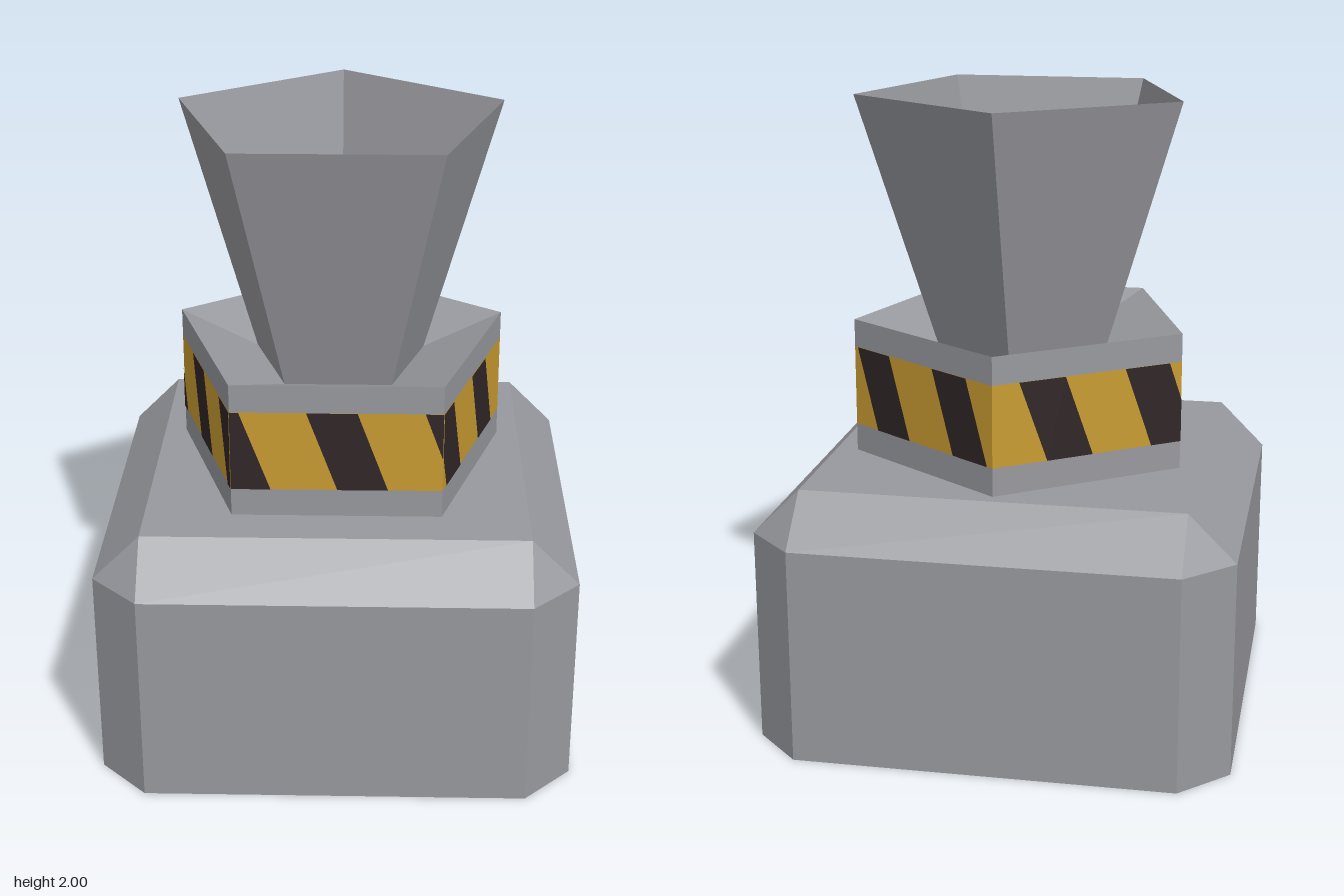
import * as THREE from 'three';

const grey = new THREE.MeshStandardMaterial({ name: 'grey metal', color: 0x98999e, flatShading: true, side: THREE.DoubleSide });
const yellow = new THREE.MeshStandardMaterial({ name: 'warning yellow', color: 0xc99c31, flatShading: true });
const dark = new THREE.MeshStandardMaterial({ name: 'warning dark', color: 0x302627, flatShading: true });

const SIDES = 5;
const COLLAR_R = 0.557;
const FACE_W = 2 * COLLAR_R * Math.sin(Math.PI / SIDES);
const APOTHEM = COLLAR_R * Math.cos(Math.PI / SIDES);
const BAND_Y0 = 0.93, BAND_Y1 = 1.19;

function add(parent, name, geometry, material) {
  const mesh = new THREE.Mesh(geometry, material);
  mesh.name = name;
  parent.add(mesh);
  return mesh;
}

// Open five-sided tube with a flat side towards the front
function pentagonTube(rBottom, yBottom, rTop, yTop) {
  const g = new THREE.CylinderGeometry(rTop, rBottom, yTop - yBottom, SIDES, 1, true, Math.PI);
  return g.translate(0, (yTop + yBottom) / 2, 0);
}

// Horizontal pentagon with a corner towards the back
function pentagonPlate(r, y) {
  return new THREE.CircleGeometry(r, SIDES, Math.PI / 2).rotateX(-Math.PI / 2).translate(0, y, 0);
}

// Hollow housing: octagonal walls, bevelled to a square top, open below
function housingGeometry() {
  const a = 0.75, b = 0.6;
  const ring = [[b, a], [a, b], [a, -b], [b, -a], [-b, -a], [-a, -b], [-a, b], [-b, a]];
  const square = ring.map(([x, z]) => [Math.sign(x) * b, Math.sign(z) * b]);
  const loops = [[ring, 0], [ring, 0.69], [square, 0.84]].map(([pts, y]) =>
    pts.map(([x, z]) => new THREE.Vector3(x, y, z)));
  const points = [];
  const tri = (p, q, r) => {
    if (!p.equals(q) && !q.equals(r) && !r.equals(p)) points.push(p, q, r);
  };
  for (let k = 0; k < 2; k++) {
    for (let i = 0; i < 8; i++) {
      const j = (i + 1) % 8;
      tri(loops[k][i], loops[k][j], loops[k + 1][j]);
      tri(loops[k][i], loops[k + 1][j], loops[k + 1][i]);
    }
  }
  const top = loops[2];
  tri(top[0], top[2], top[4]);
  tri(top[0], top[4], top[6]);
  const g = new THREE.BufferGeometry().setFromPoints(points);
  g.computeVertexNormals();
  return g;
}

// Keeps the part of a convex polygon where sign * (x - limit) <= 0
function clip(poly, limit, sign) {
  const out = [];
  poly.forEach((p, i) => {
    const q = poly[(i + 1) % poly.length];
    const dp = sign * (p.x - limit), dq = sign * (q.x - limit);
    if (dp <= 0) out.push(p);
    if (dp * dq < 0) out.push(p.clone().lerp(q, dp / (dp - dq)));
  });
  return out;
}

// Slanted stripes running continuously round the collar, cut at each corner
function hazardStripes() {
  const group = new THREE.Group();
  group.name = 'hazardStripes';
  const count = 9, pitch = (SIDES * FACE_W) / count, width = 0.157, slant = 0.095;
  for (let f = 0; f < SIDES; f++) {
    const face = new THREE.Group();
    face.name = 'stripedFace';
    face.rotation.y = (f * 2 * Math.PI) / SIDES;
    for (let s = -1; s <= count; s++) {
      const x = 0.235 + s * pitch - (f + 0.5) * FACE_W;
      let poly = [
        new THREE.Vector2(x + slant, BAND_Y0),
        new THREE.Vector2(x + slant + width, BAND_Y0),
        new THREE.Vector2(x + width, BAND_Y1),
        new THREE.Vector2(x, BAND_Y1),
      ];
      poly = clip(clip(poly, FACE_W / 2, 1), -FACE_W / 2, -1);
      if (poly.length < 3) continue;
      add(face, 'stripe', new THREE.ShapeGeometry(new THREE.Shape(poly)), dark).position.z = APOTHEM + 0.002;
    }
    group.add(face);
  }
  return group;
}

export function createModel() {
  const model = new THREE.Group();
  model.name = 'hopperMachine';

  add(model, 'housing', housingGeometry(), grey);

  // Collar, reaching down into the housing, with a dished top
  const collar = new THREE.Group();
  collar.name = 'collar';
  add(collar, 'collarLower', pentagonTube(COLLAR_R, 0.34, COLLAR_R, BAND_Y0), grey);
  add(collar, 'collarBand', pentagonTube(COLLAR_R, BAND_Y0, COLLAR_R, BAND_Y1), yellow);
  add(collar, 'collarUpper', pentagonTube(COLLAR_R, BAND_Y1, COLLAR_R, 1.28), grey);
  add(collar, 'collarDish', pentagonTube(0.286, 1.19, COLLAR_R, 1.28), grey);
  add(collar, 'collarUnderside', pentagonPlate(COLLAR_R, 0.34), grey);
  collar.add(hazardStripes());
  model.add(collar);

  // Thin-walled funnel narrowing to a small floor
  const hopper = new THREE.Group();
  hopper.name = 'hopper';
  add(hopper, 'hopperWall', pentagonTube(0.07, 0.5, 0.542, 2), grey);
  add(hopper, 'hopperFloor', pentagonPlate(0.07, 0.5), grey);
  model.add(hopper);

  return model;
}
